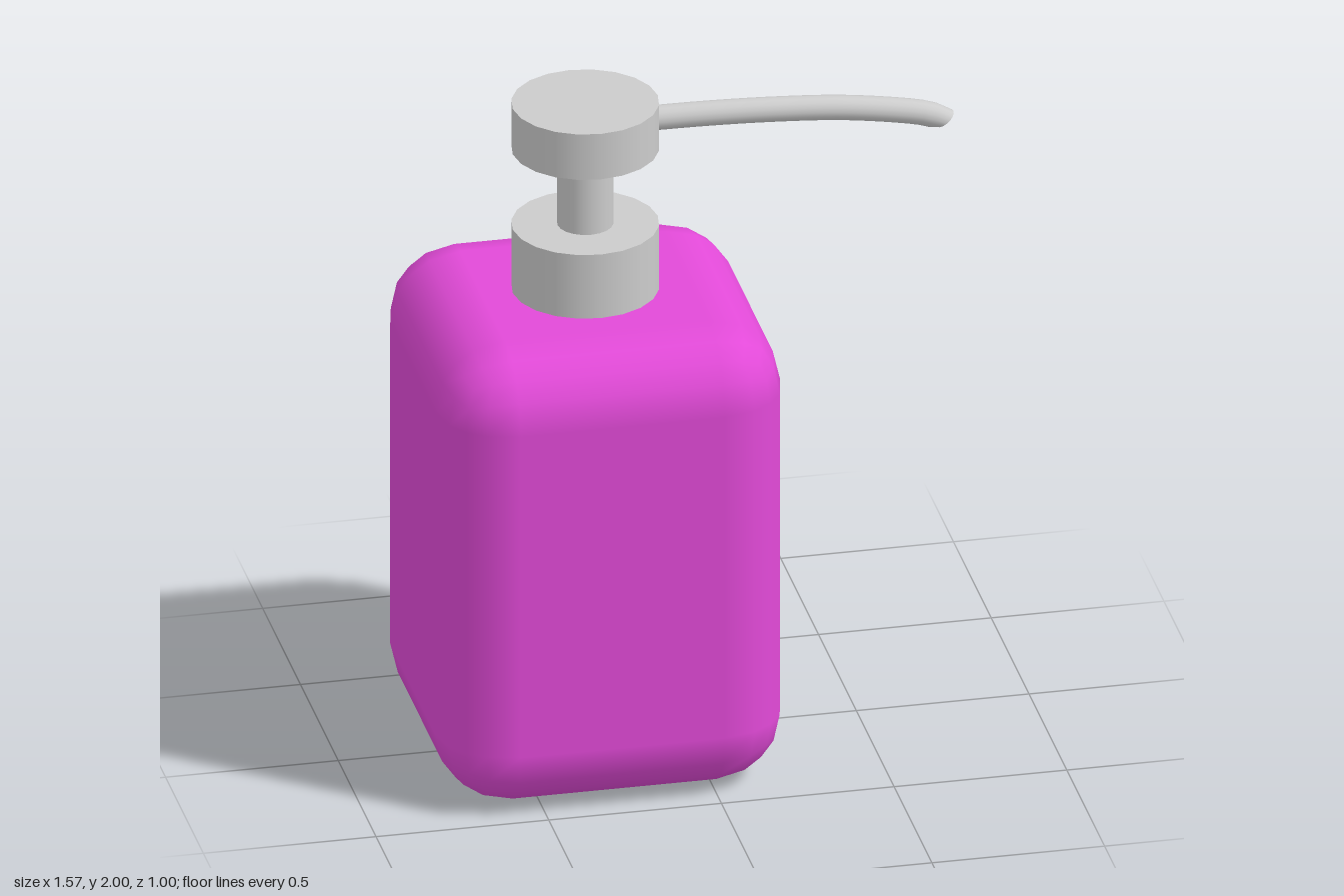
import * as THREE from 'three';
import { RoundedBoxGeometry } from 'three/addons/geometries/RoundedBoxGeometry.js';

const AXIS_X = -0.285; // bottle and pump share this vertical axis

export function createModel() {
  const group = new THREE.Group();
  const grey = new THREE.MeshStandardMaterial({ color: 0xcccccc });
  const greyOpen = new THREE.MeshStandardMaterial({ color: 0xcccccc, side: THREE.DoubleSide });
  const pink = new THREE.MeshStandardMaterial({ color: 0xe24ad8 });

  const add = (name, geometry, material, x = 0, y = 0) => {
    const mesh = new THREE.Mesh(geometry, material);
    mesh.name = name;
    mesh.position.set(x, y, 0);
    group.add(mesh);
  };

  // Bottle with softly rounded edges
  add('bottle', new RoundedBoxGeometry(1, 1.42, 1, 2, 0.205), pink, AXIS_X, 0.71);

  // Pump: collar, stem and press head
  const disc = (name, radius, bottom, top) =>
    add(name, new THREE.CylinderGeometry(radius, radius, top - bottom, 20), grey, AXIS_X, (bottom + top) / 2);
  disc('collar', 0.21, 1.4, 1.62);
  disc('stem', 0.08, 1.6, 1.87);
  disc('pumpHead', 0.21, 1.857, 2);

  // Curved open spout
  const path = new THREE.CatmullRomCurve3(
    [[-0.1, 1.93], [0.06, 1.928], [0.25, 1.921], [0.45, 1.906], [0.62, 1.88], [0.7, 1.862], [0.755, 1.84]]
      .map(([x, y]) => new THREE.Vector3(x, y, 0)));
  const steps = 24, sides = 16, radius = 0.036;
  const spout = new THREE.TubeGeometry(path, steps, radius, sides);
  // Slant the last ring so the nozzle opens downwards
  const pos = spout.attributes.position;
  for (let i = steps * (sides + 1); i < pos.count; i++) {
    const d = pos.getY(i) - 1.84;
    pos.setXY(i, 0.755 + d * 0.78, 1.84 + d * 0.62);
  }
  add('spout', spout, greyOpen);

  return group;
}
